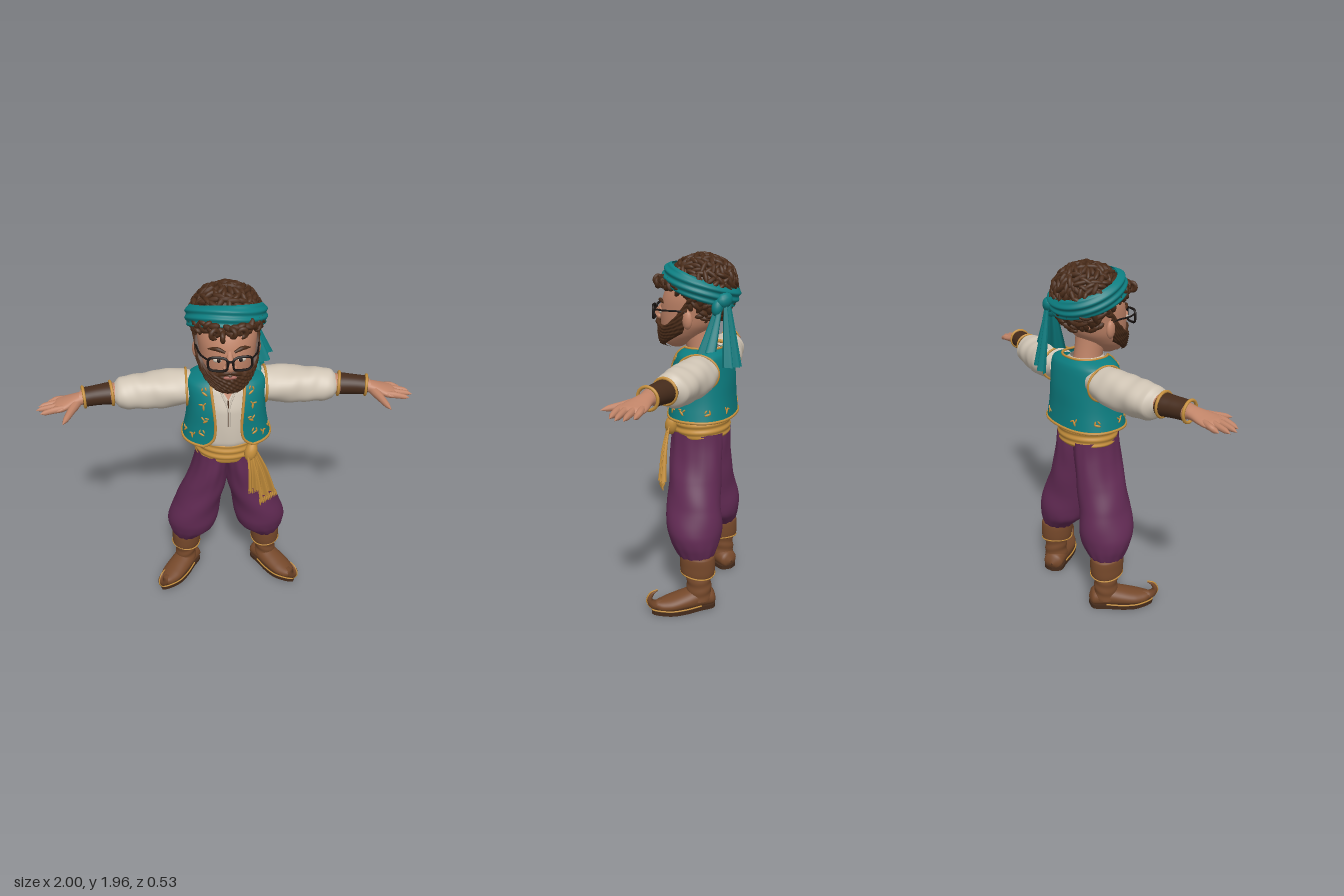
import * as THREE from 'three';
import { mergeGeometries } from 'three/addons/utils/BufferGeometryUtils.js';

const { sin, cos, abs, PI, sign, max, min, sqrt, asin } = Math;
const V = (a) => new THREE.Vector3(...a);
const curve = (pts, closed = false) => new THREE.CatmullRomCurve3(pts.map(V), closed);
const tube = (pts, r, n = 40, closed = false) => new THREE.TubeGeometry(curve(pts, closed), n, r, 6, closed);
const range = (n, f) => Array.from({ length: n }, (_, i) => f(i));

// Grid surface from f(u, v) -> [x, y, z]; closed surfaces wrap in u
function surf(f, nu, nv, closed = true) {
  const pos = [], idx = [], row = closed ? nu : nu + 1;
  for (let j = 0; j <= nv; j++) for (let i = 0; i < row; i++) pos.push(...f(i / nu, j / nv));
  for (let j = 0; j < nv; j++) for (let i = 0; i < nu; i++) {
    const a = j * row + i, b = j * row + (i + 1) % row;
    idx.push(a, b, a + row, b, b + row, a + row);
  }
  const g = new THREE.BufferGeometry();
  g.setAttribute('position', new THREE.Float32BufferAttribute(pos, 3));
  g.setIndex(idx);
  g.computeVertexNormals();
  return g;
}

// Smooth lookup in cross-sections keyed by their first number
function sec(S, k) {
  let i = 0;
  while (i < S.length - 2 && S[i + 1][0] < k) i++;
  const f = (k - S[i][0]) / (S[i + 1][0] - S[i][0]);
  const P = S[max(i - 1, 0)], A = S[i], B = S[i + 1], N = S[min(i + 2, S.length - 1)];
  return A.map((a, c) => {
    const b = B[c], m = (b - P[c]) / 2, n = (N[c] - a) / 2;
    return a + f * (m + f * (3 * (b - a) - 2 * m - n + f * (2 * (a - b) + m + n)));
  });
}

// Elliptical loft along an axis; rows are [along, centre, centre, radius, radius]
function loft(S, axis = 'y', fold = () => 1, nu = 40, nv = 32) {
  return surf((u, v) => {
    const k = S[0][0] + v * (S[S.length - 1][0] - S[0][0]), t = u * 2 * PI;
    const [, p, q, a, b] = sec(S, k), w = fold(t, v), s = sin(t) * w, c = cos(t) * w;
    if (axis === 'x') return [k, p - b * s, q + a * c];
    if (axis === 'z') return [p - a * s, q + b * c, k];
    return [p + a * s, k, q + b * c];
  }, nu, nv);
}

// Tube whose radius follows a list of values
function taper(pts, radii, n = 16, seg = 10) {
  const c = curve(pts), g = new THREE.TubeGeometry(c, n, 1, seg), p = g.attributes.position, q = new THREE.Vector3();
  for (let i = 0; i <= n; i++) {
    const o = c.getPointAt(i / n), k = i / n * (radii.length - 1), m = min(k | 0, radii.length - 2);
    const r = radii[m] + (radii[m + 1] - radii[m]) * (k - m);
    for (let j = 0; j <= seg; j++) {
      const id = i * (seg + 1) + j;
      q.fromBufferAttribute(p, id).sub(o).multiplyScalar(r).add(o);
      p.setXYZ(id, q.x, q.y, q.z);
    }
  }
  return g;
}

// Ellipsoid lying on a surface with the given normal
function blob(p, n, roll, size, d = 8) {
  const q = new THREE.Quaternion().setFromUnitVectors(V([0, 0, 1]), V(n).normalize());
  q.multiply(new THREE.Quaternion().setFromAxisAngle(V([0, 0, 1]), roll));
  return new THREE.SphereGeometry(1, d, max(6, d * 0.75 | 0)).applyMatrix4(new THREE.Matrix4().compose(V(p), q, V(size)));
}
const ball = (p, size) => blob(p, [0, 0, 1], 0, size, 16);

// Hanging pleated cloth strip
function ribbon(pts, dir, w0, w1, amp, pleats) {
  const c = curve(pts), d = V(dir).normalize(), n = new THREE.Vector3(-d.z, 0, d.x);
  return surf((u, v) => c.getPoint(v).addScaledVector(d, (u - 0.5) * (w0 + (w1 - w0) * v))
    .addScaledVector(n, sin(u * 2 * PI * pleats) * amp * (0.4 + v)).toArray(), 28, 18, false);
}

function mirrored(g) {
  const m = g.clone().scale(-1, 1, 1);
  const ix = m.index ? [...m.index.array] : range(m.attributes.position.count, (i) => i);
  for (let i = 0; i < ix.length; i += 3) [ix[i], ix[i + 1]] = [ix[i + 1], ix[i]];
  m.setIndex(ix);
  return m;
}

const SHIRT = [[1.04, 0, -0.01, 0.16, 0.13], [1.1, 0, -0.01, 0.185, 0.157], [1.3, 0, -0.02, 0.19, 0.16], [1.4, 0, -0.03, 0.175, 0.135], [1.46, 0, -0.02, 0.085, 0.09]];
const HEAD = [[1.45, 0, 0.13, 0.02, 0.03], [1.475, 0, 0.12, 0.075, 0.08], [1.52, 0, 0.09, 0.11, 0.12], [1.58, 0, 0.06, 0.135, 0.152], [1.65, 0, 0.045, 0.145, 0.167], [1.73, 0, 0.03, 0.15, 0.165], [1.83, 0, 0.01, 0.13, 0.14]];
// Vest rows: height, half width, half depth, centre z, half opening
const VEST = [[1.09, 0.245, 0.183, -0.025, 0.135], [1.13, 0.236, 0.18, -0.024, 0.085], [1.2, 0.222, 0.176, -0.023, 0.07], [1.3, 0.212, 0.172, -0.023, 0.075], [1.4, 0.214, 0.15, -0.03, 0.085], [1.44, 0.195, 0.13, -0.035, 0.088], [1.465, 0.12, 0.11, -0.03, 0.09]];
function vestAt(u, v) {
  const [y, a, b, cz, open] = sec(VEST, 1.09 + v * 0.375), e = 0.85;
  const t0 = asin((open / a) ** (1 / e)), t = t0 + u * (2 * PI - 2 * t0);
  const pw = (s) => sign(s) * abs(s) ** e;
  return [a * pw(sin(t)), y, cz + b * pw(cos(t))];
}

export function createModel() {
  const root = new THREE.Group();
  let seed = 7;
  const rnd = () => (seed = (seed * 16807) % 2147483647) / 2147483647;
  const mat = (name, color, side = THREE.FrontSide) => Object.assign(new THREE.MeshStandardMaterial({ color, side }), { name });
  const skin = mat('skin', 0xc08468), hair = mat('hair', 0x4a2c19), teal = mat('teal', 0x0c7d80, THREE.DoubleSide);
  const gold = mat('gold', 0xc58f3c, THREE.DoubleSide), cream = mat('cream', 0xcfc4b4, THREE.DoubleSide), purple = mat('purple', 0x612a53, THREE.DoubleSide);
  const leather = mat('leather', 0x75482a), dark = mat('dark leather', 0x452b1b), black = mat('black', 0x1a1412), lip = mat('lip', 0xa8655a);
  const add = (name, g, m) => { const o = new THREE.Mesh(g, m); o.name = name; root.add(o); };
  const pair = (name, g, m) => { add(name + 'Left', g, m); add(name + 'Right', mirrored(g), m); };

  // Trousers
  pair('trouserLeg', loft([[0.3, 0.245, -0.055, 0.078, 0.085], [0.335, 0.235, -0.05, 0.1, 0.11], [0.4, 0.212, -0.04, 0.14, 0.14], [0.48, 0.2, -0.03, 0.15, 0.157], [0.6, 0.17, -0.02, 0.135, 0.152], [0.75, 0.123, -0.012, 0.12, 0.147], [0.88, 0.093, -0.01, 0.1, 0.148], [1, 0.08, -0.012, 0.09, 0.145]], 'y',
    (t, v) => 1 + 0.03 * sin(13 * t) * max(0, 1 - v * 5) + 0.018 * sin(11 * t + 6 * v) * max(0, v * 2 - 1) + 0.02 * sin(3 * t + v * 17) * sin(PI * v), 56, 48), purple);

  // Boots
  const place = (g) => g.rotateY(0.62).translate(0.255, 0, -0.07);
  pair('bootShaft', loft([[0.06, 0.258, -0.07, 0.068, 0.075], [0.12, 0.258, -0.075, 0.062, 0.07], [0.24, 0.252, -0.068, 0.062, 0.072], [0.3, 0.25, -0.065, 0.075, 0.085]], 'y', (t, v) => 1 + 0.03 * sin(v * 26 + sin(t) * 2)), leather);
  pair('bootCuff', loft([[0.2, 0.252, -0.067, 0.062, 0.07], [0.212, 0.252, -0.067, 0.084, 0.094], [0.27, 0.25, -0.066, 0.088, 0.1], [0.325, 0.25, -0.065, 0.085, 0.096], [0.335, 0.25, -0.065, 0.065, 0.075]], 'y', (t) => 1 + 0.02 * sin(3 * t)), leather);
  pair('bootCuffTrim', tube(range(16, (i) => [0.252 + 0.086 * sin(i * PI / 8), 0.214 + 0.006 * sin(i * PI / 4), -0.067 + 0.096 * cos(i * PI / 8)]), 0.004, 40, true), gold);
  pair('bootFoot', place(loft([[-0.1, 0, 0.05, 0.005, 0.005], [-0.085, 0, 0.055, 0.055, 0.045], [0, 0, 0.066, 0.066, 0.06], [0.09, 0, 0.058, 0.07, 0.05], [0.17, 0, 0.05, 0.066, 0.04], [0.23, 0, 0.048, 0.045, 0.032], [0.275, 0, 0.058, 0.012, 0.018]], 'z')), leather);
  pair('bootToeCurl', place(taper([[0, 0.05, 0.22], [0, 0.06, 0.265], [0, 0.095, 0.287], [0, 0.128, 0.27], [0, 0.142, 0.235]], [0.034, 0.027, 0.017, 0.011, 0], 20)), leather);
  pair('bootToeTrim', place(tube([[0, 0.04, 0.283], [0, 0.09, 0.304], [0, 0.136, 0.281], [0, 0.148, 0.24]], 0.004, 16)), gold);
  const print = [[0, -0.1], [0.055, -0.075], [0.062, 0], [0.073, 0.1], [0.062, 0.19], [0, 0.275], [-0.062, 0.19], [-0.073, 0.1], [-0.062, 0], [-0.055, -0.075]];
  const sole = new THREE.Shape(new THREE.SplineCurve([...print, print[0]].map(([x, z]) => new THREE.Vector2(x, -z))).getPoints(40));
  pair('bootSole', place(new THREE.ExtrudeGeometry(sole, { depth: 0.024, bevelEnabled: false }).rotateX(-PI / 2)), dark);
  pair('bootSoleTrim', place(tube(print.slice(2, 9).map(([x, z]) => [x, 0.03, z]), 0.0045)), gold);

  // Shirt with open collar
  add('shirtBody', loft(SHIRT, 'y', (t, v) => 1 + 0.012 * sin(10 * t + 5 * v) * (1 - v)), cream);
  const collar = (x, k) => { const [y, , cz, a, b] = sec(SHIRT, k), t = x / a; return [a * sin(t) * 1.03, y, cz + b * cos(t) + 0.006]; };
  add('openChest', surf((u, v) => collar((u - 0.5) * 0.1 * v, 1.36 + v * 0.1), 10, 10, false), skin);
  pair('collarEdge', tube(range(8, (i) => collar(0.05 * max(0, i - 3) / 4 + 0.004, 1.22 + i * 0.034)), 0.005), cream);
  add('placketSeam', tube(range(6, (i) => collar(0, 1.22 + i * 0.028)), 0.004), dark);
  add('neck', loft([[1.38, 0, -0.03, 0.085, 0.085], [1.45, 0, -0.01, 0.075, 0.08], [1.56, 0, 0.01, 0.08, 0.085]]), skin);

  // Vest with gold edging and leaf embroidery
  add('vest', surf(vestAt, 64, 28, false), teal);
  pair('vestFrontTrim', tube(range(15, (i) => vestAt(0, i / 14)), 0.008, 50), gold);
  add('vestHemTrim', tube(range(40, (i) => vestAt(i / 39, 0.005)), 0.008, 90), gold);
  add('vestNeckTrim', tube(range(30, (i) => vestAt(i / 29, 0.995)), 0.007, 60), gold);
  pair('armholeTrim', new THREE.TorusGeometry(0.1, 0.007, 6, 40).rotateY(PI / 2).scale(1, 0.94, 1.12).translate(0.212, 1.357, -0.055), gold);
  const leaf = (u, v, roll, s = 1) => { const p = vestAt(u, v); return blob(p, [p[0] * 0.6, 0, p[2] + 0.025], roll, [0.019 * s, 0.0065 * s, 0.005]); };
  const sprigs = [[0.035, 0.82], [0.05, 0.62], [0.045, 0.42], [0.06, 0.2], [0.11, 0.13], [0.18, 0.13], [0.3, 0.12], [0.42, 0.12]];
  pair('vestEmbroidery', mergeGeometries(sprigs.flatMap(([u, v], i) => [leaf(u, v, 0.5 + i), leaf(u + 0.013, v + 0.035, 2 + i, 0.8), leaf(u - 0.008, v + 0.05, 1.2 + i, 0.7)])), gold);

  // Waist sash, knot and fringed tails
  add('sash', loft([[0.965, 0, -0.014, 0.165, 0.145], [0.985, 0, -0.014, 0.178, 0.158], [1.03, 0, -0.014, 0.178, 0.16], [1.08, 0, -0.014, 0.176, 0.156], [1.1, 0, -0.014, 0.16, 0.14]], 'y', (t, v) => 1 + 0.018 * sin(v * 22 + 1.2 * sin(t + 1)), 48, 36), gold);
  add('sashKnot', blob([0.125, 1.03, 0.125], [0.5, 0, 1], 1.3, [0.058, 0.036, 0.035], 14), gold);
  add('sashTailShort', ribbon([[0.125, 1.03, 0.145], [0.14, 0.92, 0.16], [0.15, 0.79, 0.16]], [1, 0, -0.3], 0.05, 0.08, 0.009, 2), gold);
  add('sashTailLong', ribbon([[0.14, 1.03, 0.135], [0.185, 0.9, 0.145], [0.225, 0.73, 0.145]], [1, 0.25, -0.6], 0.05, 0.115, 0.013, 2.5), gold);
  add('sashFringe', mergeGeometries([...range(11, (i) => taper([[0.177 + i * 0.0095, 0.72 + i * 0.0022, 0.172 - i * 0.0056], [0.18 + i * 0.0098, 0.7 + i * 0.002, 0.176 - i * 0.005], [0.182 + i * 0.01, 0.675 + i * 0.002 + rnd() * 0.012, 0.172 - i * 0.005]], [0.005, 0.006, 0.002], 4, 5)),
    ...range(8, (i) => taper([[0.114 + i * 0.01, 0.795, 0.171 - i * 0.003], [0.115 + i * 0.01, 0.76 + rnd() * 0.01, 0.171 - i * 0.003]], [0.005, 0.003], 3, 5))]), gold);

  // Sleeves, bracers and hands
  pair('sleeve', loft([[0.16, 1.36, -0.06, 0.09, 0.075], [0.22, 1.357, -0.058, 0.108, 0.092], [0.32, 1.352, -0.053, 0.114, 0.1], [0.42, 1.35, -0.042, 0.105, 0.095], [0.52, 1.35, -0.032, 0.098, 0.092], [0.57, 1.352, -0.025, 0.086, 0.078], [0.6, 1.358, -0.018, 0.05, 0.045]], 'x', (t, v) => 1 + 0.028 * sin(v * 30 + 2 * sin(t + 1)) * v + 0.022 * sin(4 * t + 9 * v), 44, 56), cream);
  pair('forearm', loft([[0.54, 1.358, -0.025, 0.058, 0.052], [0.66, 1.362, 0, 0.055, 0.05], [0.77, 1.36, 0.02, 0.042, 0.036]], 'x'), skin);
  pair('bracer', loft([[0.608, 1.36, -0.014, 0.066, 0.058], [0.68, 1.362, 0.002, 0.059, 0.053], [0.75, 1.362, 0.018, 0.057, 0.05]], 'x'), dark);
  for (const [x, y, z, r] of [[0.61, 1.36, -0.013, 0.063], [0.752, 1.362, 0.018, 0.054]])
    pair('braceletTrim', new THREE.TorusGeometry(r, 0.008, 8, 32).rotateY(PI / 2 - 0.2).translate(x, y, z), gold);
  pair('palm', loft([[0.74, 1.36, 0.018, 0.04, 0.034], [0.79, 1.355, 0.03, 0.05, 0.03], [0.85, 1.345, 0.045, 0.068, 0.026], [0.89, 1.34, 0.05, 0.068, 0.021], [0.91, 1.338, 0.052, 0.04, 0.012]], 'x'), skin);
  pair('fingers', mergeGeometries([[-0.002, 0.955], [0.033, 0.99], [0.069, 0.998], [0.104, 0.972]].map(([z, x]) => taper([[0.85, 1.345, z * 0.85 + 0.006], [0.9, 1.341, z], [x - 0.03, 1.332, z + 0.004], [x, 1.325, z + 0.006]], [0.018, 0.0185, 0.017, 0.015, 0.013, 0], 18))), skin);
  pair('thumb', taper([[0.785, 1.35, 0.05], [0.81, 1.338, 0.11], [0.83, 1.328, 0.165], [0.848, 1.318, 0.21]], [0.026, 0.025, 0.021, 0.018, 0.014, 0], 18), skin);

  // Head, ears and nose
  add('head', loft(HEAD), skin);
  pair('ear', blob([0.155, 1.62, 0.02], [1, 0, 0.35], PI / 2, [0.05, 0.03, 0.02], 14), skin);
  add('nose', mergeGeometries([taper([[0, 1.69, 0.195], [0, 1.655, 0.217], [0, 1.622, 0.235], [0, 1.6, 0.22]], [0.012, 0.017, 0.024, 0.015]), ball([0, 1.617, 0.232], [0.025, 0.02, 0.021]), ball([0.021, 1.612, 0.218], [0.015, 0.013, 0.015]), ball([-0.021, 1.612, 0.218], [0.015, 0.013, 0.015])]), skin);

  // Eyes, brows and spectacles
  pair('eyeWhite', ball([0.056, 1.648, 0.196], [0.025, 0.014, 0.012]), cream);
  pair('iris', ball([0.054, 1.648, 0.205], [0.01, 0.011, 0.006]), black);
  pair('eyelid', taper([[0.028, 1.655, 0.207], [0.056, 1.664, 0.204], [0.086, 1.655, 0.185]], [0.004, 0.008, 0.004]), skin);
  pair('eyebrow', taper([[0.022, 1.692, 0.208], [0.06, 1.707, 0.198], [0.105, 1.695, 0.165]], [0.006, 0.011, 0.009, 0.002]), hair);
  const rim = range(16, (i) => { const s = sin(i * PI / 8), c = cos(i * PI / 8); return [0.06 + 0.048 * sign(c) * abs(c) ** 0.6, 1.645 + 0.036 * sign(s) * abs(s) ** 0.6, 0.236 - 0.012 * c]; });
  pair('spectacleRim', tube(rim, 0.0065, 48, true), black);
  pair('spectacleTemple', tube([[0.106, 1.662, 0.222], [0.14, 1.662, 0.16], [0.16, 1.66, 0.04], [0.158, 1.64, 0]], 0.005), black);
  add('spectacleBridge', tube([[-0.016, 1.655, 0.245], [0, 1.662, 0.249], [0.016, 1.655, 0.245]], 0.006, 10), black);

  // Beard, moustache and mouth
  const beardTop = [[0, 1.59], [0.5, 1.578], [0.95, 1.585], [1.35, 1.64], [1.7, 1.73]];
  add('beard', surf((u, v) => {
    const t = (u * 2 - 1) * 1.7, q = abs(t), low = 1.452 + 0.1 * (q / 1.7) ** 2, y = low + (sec(beardTop, q)[1] - low) * v;
    const [, , cz, a, b] = sec(HEAD, y), off = 0.019 * sqrt(max(0, 1 - (2 * v - 1) ** 6)) * (1 + 0.25 * sin(23 * t + 9 * v) * sin(31 * v));
    return [(a + off) * sin(t), y - 0.008 * (1 - v), cz + (b + off) * cos(t)];
  }, 60, 28, false), hair);
  pair('moustache', taper([[0, 1.594, 0.23], [0.03, 1.588, 0.226], [0.065, 1.562, 0.2]], [0.011, 0.014, 0.004]), hair);
  add('mouth', ball([0, 1.562, 0.224], [0.036, 0.011, 0.01]), lip);

  // Curly hair
  const dome = (x, y, z, k) => [0.172 * x * k, 1.785 + (y > 0 ? 0.15 : 0.2) * y * k, -0.02 + 0.172 * z * k];
  add('hairBase', surf((u, v) => { const t = u * 2 * PI, e = (v - 0.5) * PI; return dome(sin(t) * cos(e), sin(e), cos(t) * cos(e), 0.97); }, 32, 24), hair);
  const curls = [];
  range(330, (i) => {
    const y = 1 - 1.85 * (i + 0.5) / 330, r = sqrt(1 - y * y), t = i * 2.39996, n = [r * sin(t), y, r * cos(t)];
    const p = dome(...n, 0.99 + rnd() * 0.06);
    if (p[2] > 0.03 ? p[1] > 1.755 : p[2] < -0.03 || p[1] > 1.68) curls.push(blob(p, n, rnd() * PI, [0.03 + rnd() * 0.012, 0.014, 0.017]));
  });
  range(46, (i) => {
    const t = -1.5 + 3 * i / 45, n = [sin(t), 0.2, cos(t)];
    curls.push(blob([0.175 * n[0], 1.765 + 0.02 * n[2] + rnd() * 0.045, 0.015 + (0.175 + rnd() * 0.025) * n[2]], n, rnd() * PI, [0.031, 0.016, 0.02]));
  });
  add('hairCurls', mergeGeometries(curls), hair);
  add('forelock', mergeGeometries([[-0.075, 1.8, 0.225], [-0.035, 1.79, 0.238], [0.01, 1.805, 0.228], [0.06, 1.795, 0.212]].map(([x, y, z], i) => new THREE.TorusGeometry(0.02, 0.012, 8, 14, 5).rotateY(i * 0.9 + 0.5).translate(x, y, z))), hair);

  // Headscarf band, knot and tails
  add('headscarfBand', surf((u, v) => {
    const t = u * 2 * PI, h = (v - 0.5) * 0.112, k = 1 - 0.9 * (2 * v - 1) ** 8 * 0.12 - (h * h) * 14 + 0.022 * sin(v * 19 + 1.3 * sin(2 * t));
    return [0.205 * sin(t) * k, 1.79 + 0.072 * cos(t) * k + h * 0.94, -0.012 + 0.2 * cos(t) * k - h * 0.34];
  }, 72, 26), teal);
  add('headscarfKnot', mergeGeometries([blob([0.125, 1.725, -0.17], [0.6, 0, -1], 0.4, [0.05, 0.04, 0.035], 14), blob([0.15, 1.69, -0.14], [0.8, 0, -1], 1.3, [0.045, 0.03, 0.03], 14)]), teal);
  add('headscarfTailLong', ribbon([[0.125, 1.72, -0.185], [0.135, 1.56, -0.205], [0.15, 1.385, -0.228]], [1, 0.15, 0.35], 0.06, 0.17, 0.015, 2.5), teal);
  add('headscarfTailShort', ribbon([[0.14, 1.72, -0.15], [0.175, 1.59, -0.125], [0.215, 1.465, -0.1]], [0.7, 0.3, -0.8], 0.05, 0.17, 0.015, 2), teal);
  return root;
}
